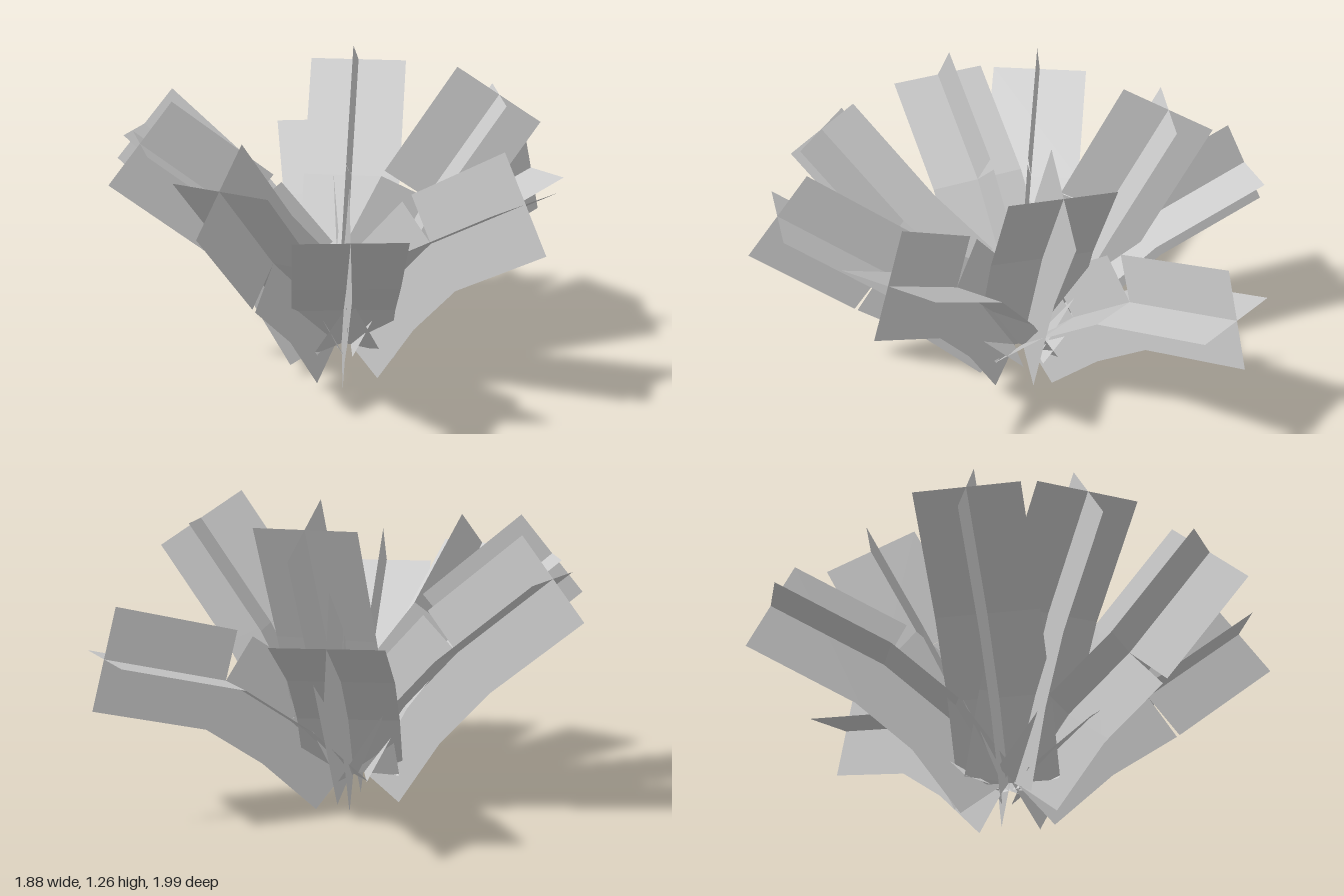
import * as THREE from 'three';

const HALF_TURN = Math.PI / 180;
const WIDTH = 0.394;
const LENGTHS = [0.328, 0.328, 0.492];
const HOLE = 0.035; // distance of each leaf base from the plant axis

// Each leaf: heading around y (0 = front), then the pitch of its three segments, in degrees
const LEAVES = [
  [0, 51, 40, 47],
  [32.2, 43, 34, 38],
  [77.4, 54, 46, 29.5],
  [122.8, 63, 63, 56],
  [157.6, 43, 34.8, 14.7],
  [202.7, 63, 63, 62],
  [215.3, 52, 38, 25],
  [282.5, 56, 47, 39.3],
  [314.7, 62, 52, 39],
];

export function createModel() {
  const plant = new THREE.Group();
  plant.name = 'plant';
  const material = new THREE.MeshStandardMaterial({
    color: 0xcccccc, flatShading: true, side: THREE.DoubleSide,
  });

  // Flat blade and upright blade for every segment length, hinged at the lower end
  const blades = LENGTHS.map((length) => {
    const flat = new THREE.PlaneGeometry(WIDTH, length).translate(0, length / 2, 0);
    return { flat, upright: flat.clone().rotateY(Math.PI / 2) };
  });

  LEAVES.forEach(([heading, ...pitches], n) => {
    const leaf = new THREE.Group();
    leaf.name = `leaf${n + 1}`;
    leaf.position.set(-0.02, 0.155, 0.02);
    leaf.rotation.y = heading * HALF_TURN;

    // Chain the segments outward along the leaf's centre line
    let y = 0, z = HOLE;
    pitches.forEach((degrees, i) => {
      const pitch = degrees * HALF_TURN;
      for (const kind of ['flat', 'upright']) {
        const blade = new THREE.Mesh(blades[i][kind], material);
        blade.name = `${kind}Blade${i + 1}`;
        blade.position.set(0, y, z);
        blade.rotation.x = Math.PI / 2 - pitch;
        leaf.add(blade);
      }
      y += LENGTHS[i] * Math.sin(pitch);
      z += LENGTHS[i] * Math.cos(pitch);
    });
    plant.add(leaf);
  });
  return plant;
}
